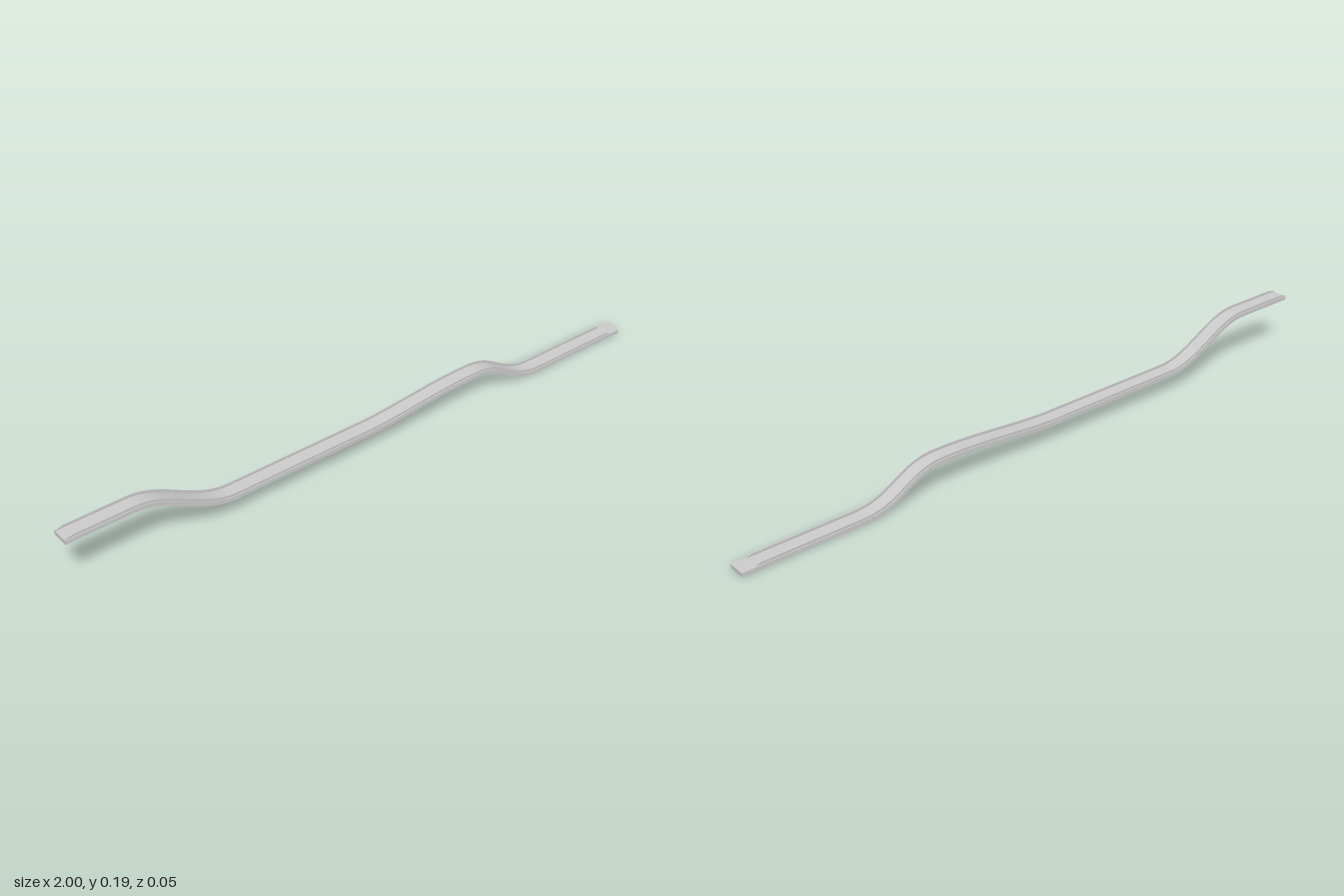
import * as THREE from 'three';
import { toCreasedNormals } from 'three/addons/utils/BufferGeometryUtils.js';

const V = (x, y) => new THREE.Vector2(x, y);

// Running surface of the track, from the high end to the low end
function trackPath() {
  const p = new THREE.Path();
  p.moveTo(-1, 0.182);
  p.lineTo(-0.8, 0.182);
  p.bezierCurveTo(-0.69, 0.182, -0.61, 0.074, -0.49, 0.074);
  p.lineTo(-0.03, 0.074);
  p.bezierCurveTo(0.07, 0.074, 0.22, 0.099, 0.35, 0.099);
  p.lineTo(0.37, 0.099);
  p.bezierCurveTo(0.49, 0.099, 0.51, 0.012, 0.64, 0.012);
  p.lineTo(1, 0.012);
  return p;
}

// Points with unit normals; extra samples near the ends shape the rail tips
function samplePath() {
  const pts = trackPath().getPoints(20);
  pts.splice(1, 0, V(-0.975, 0.182));
  pts.splice(pts.length - 1, 0, V(0.945, 0.012), V(0.96, 0.012));
  return pts.map((p, i) => {
    const a = pts[Math.max(i - 1, 0)], b = pts[Math.min(i + 1, pts.length - 1)];
    const t = b.clone().sub(a).normalize();
    const flatEnd = i === 0 || i === pts.length - 1;
    return { p, n: flatEnd ? V(0, 1) : V(-t.y, t.x) };
  });
}

// Solid band between two offsets of the path, extruded across the width
function band(samples, low, high, width) {
  const offset = (s, d) => s.p.clone().addScaledVector(s.n, d);
  const bottom = samples.map((s) => offset(s, low));
  const top = samples.map((s) => offset(s, high(s.p.x))).reverse();
  const geo = new THREE.ExtrudeGeometry(new THREE.Shape([...bottom, ...top]), {
    depth: width, bevelEnabled: false, curveSegments: 1,
  });
  geo.translate(0, 0, -width / 2);
  return toCreasedNormals(geo, 0.5);
}

export function createModel() {
  const group = new THREE.Group();
  const material = new THREE.MeshStandardMaterial({ color: 0xcccccc });
  const samples = samplePath();

  // Base of the track
  const base = new THREE.Mesh(band(samples, -0.012, () => 0, 0.055), material);
  base.name = 'trackBase';
  group.add(base);

  // Thin guide rails, tapered at the high end and stopping short of the low end
  const railHeight = (x) => 0.008 * Math.min(1, 0.3 + (x + 1) / 0.035);
  const railSamples = samples.filter((s) => s.p.x < 0.961);
  const railTop = (x) => (x > 0.95 ? 0 : railHeight(x));
  const railGeo = band(railSamples, -0.001, railTop, 0.003);
  for (const side of [1, -1]) {
    const rail = new THREE.Mesh(railGeo, material);
    rail.name = side > 0 ? 'frontRail' : 'backRail';
    rail.position.z = side * 0.0235;
    group.add(rail);
  }
  return group;
}
